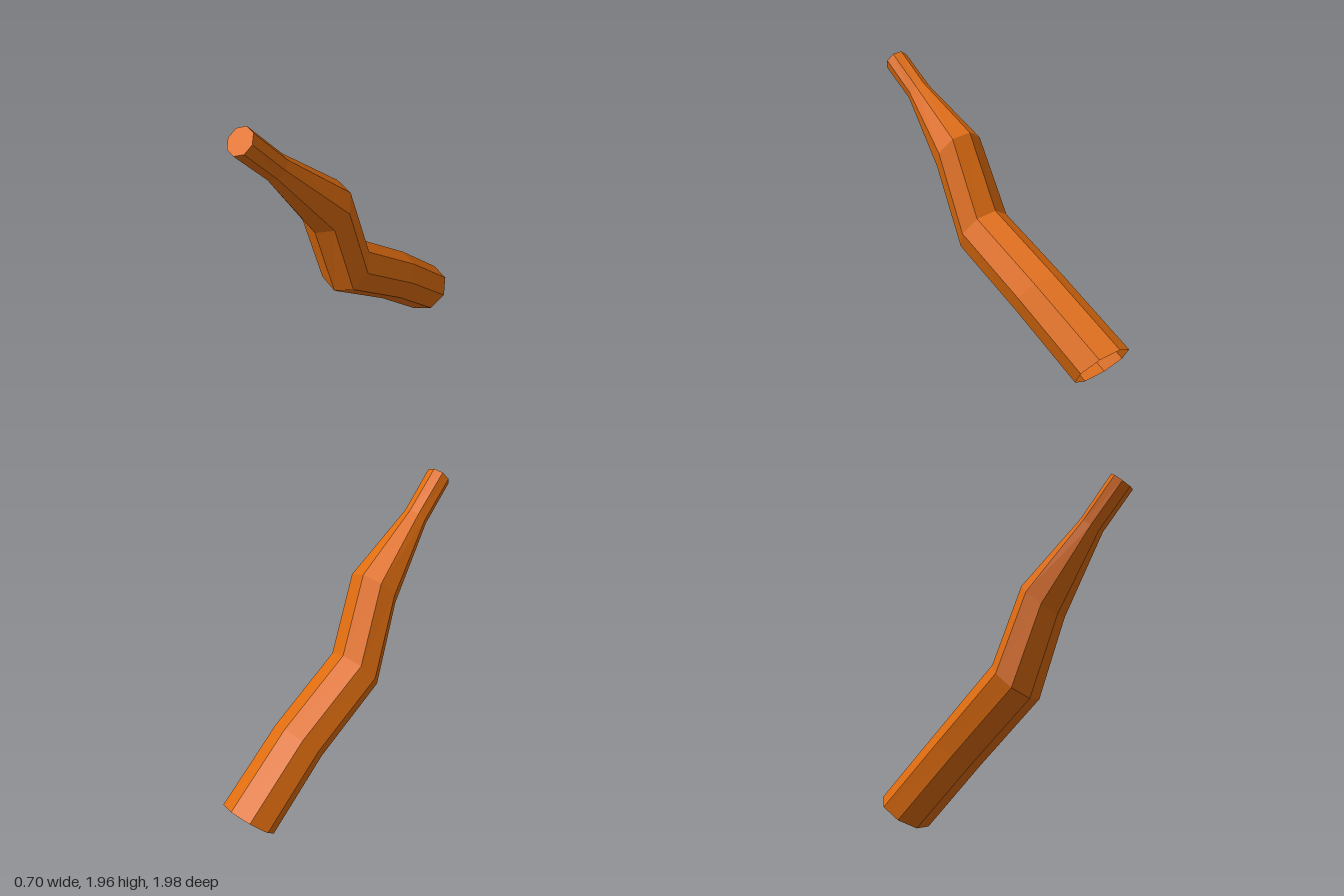
import * as THREE from 'three';

const SIDES = 8;

// Cross-sections from the wide open foot to the narrow closed tip:
// centre, direction the section faces, radius
const SECTIONS = [
  { c: [-0.178, 0.14, -0.866], n: [0.05, 0.27, 0.275], r: 0.182 },
  { c: [-0.055, 0.48, -0.41], n: [0.05, 0.23, 0.275], r: 0.18 },
  { c: [0.042, 0.797, 0.1], n: [0.06, 0.236, 0.288], r: 0.182 },
  { c: [0.115, 1.3, 0.303], n: [0.065, 0.227, 0.26], r: 0.171 },
  { c: [0.2, 1.687, 0.706], n: [0.02, 0.118, 0.118], r: 0.082 },
  { c: [0.26, 1.905, 0.942], n: [0.03, 0.107, 0.125], r: 0.083 },
];

// Points of one octagonal section, starting at its lowest corner
function ring({ c, n, r }) {
  const normal = new THREE.Vector3(...n).normalize();
  const side = new THREE.Vector3(normal.z, 0, -normal.x).normalize();
  const down = new THREE.Vector3().crossVectors(side, normal);
  return Array.from({ length: SIDES }, (_, i) => {
    const a = (i / SIDES) * Math.PI * 2;
    return new THREE.Vector3(...c)
      .addScaledVector(down, r * Math.cos(a))
      .addScaledVector(side, r * Math.sin(a));
  });
}

function facetGeometry(points, index) {
  const geometry = new THREE.BufferGeometry().setFromPoints(points);
  geometry.setIndex(index);
  const flat = geometry.toNonIndexed();
  flat.computeVertexNormals();
  return flat;
}

export function createModel() {
  const group = new THREE.Group();
  group.name = 'bentTube';

  const orange = new THREE.MeshStandardMaterial({ color: 0xe06d10, flatShading: true, side: THREE.DoubleSide });
  orange.name = 'orange';

  // Bent tube wall, open at the foot
  const rings = SECTIONS.map(ring);
  const wall = [];
  for (let s = 0; s < rings.length - 1; s++) {
    for (let i = 0; i < SIDES; i++) {
      const j = (i + 1) % SIDES;
      const a = s * SIDES + i, b = s * SIDES + j;
      wall.push(a, b, b + SIDES, a, b + SIDES, a + SIDES);
    }
  }
  const tube = new THREE.Mesh(facetGeometry(rings.flat(), wall), orange);
  tube.name = 'tubeWall';
  group.add(tube);

  // Flat cap closing the narrow tip
  const fan = [];
  for (let i = 1; i < SIDES - 1; i++) fan.push(0, i, i + 1);
  const cap = new THREE.Mesh(facetGeometry(rings[rings.length - 1], fan), orange);
  cap.name = 'tipCap';
  group.add(cap);

  return group;
}
